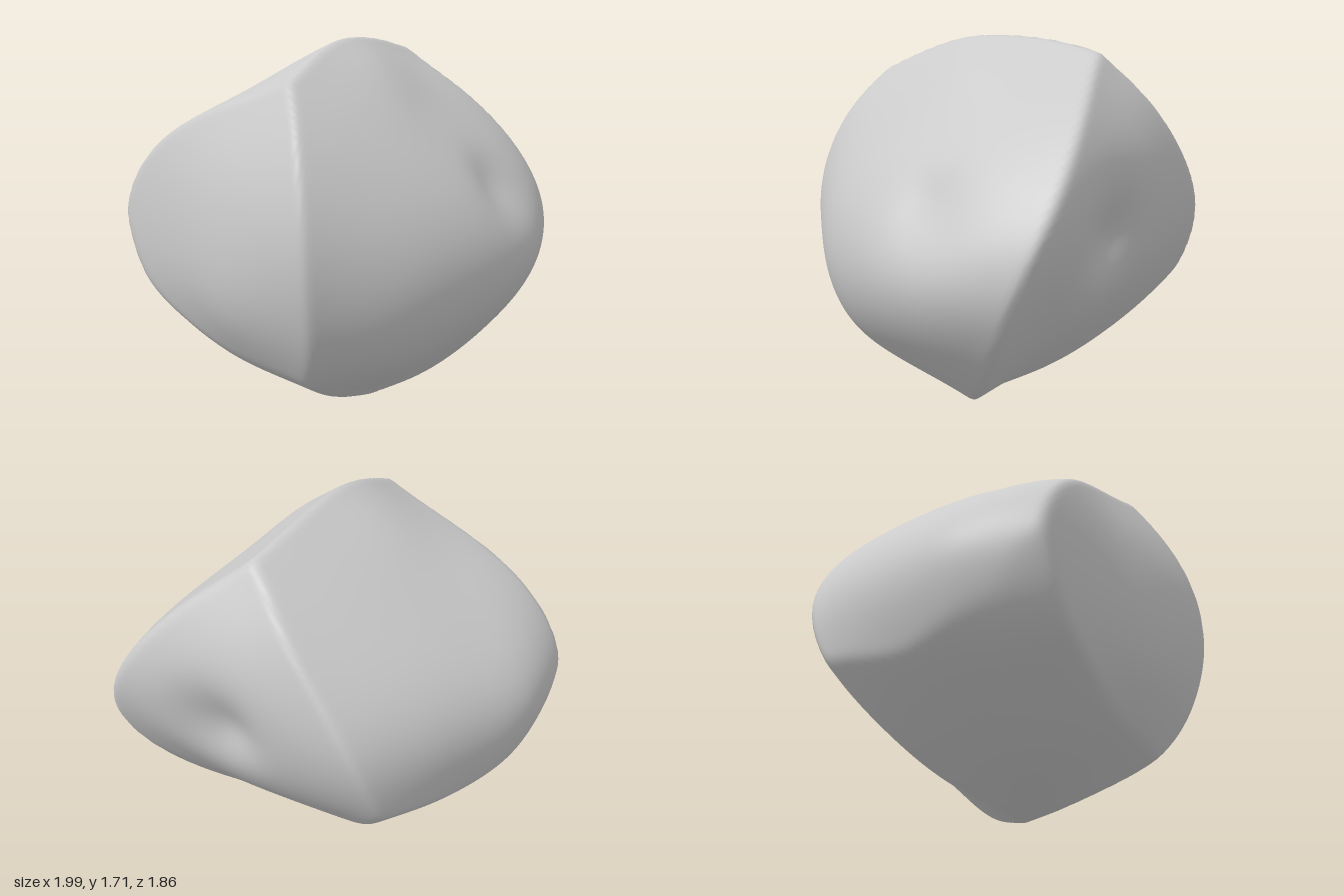
import * as THREE from 'three';
import { mergeVertices } from 'three/addons/utils/BufferGeometryUtils.js';

const CENTRE = new THREE.Vector3(0, 0.85, 0);

// Ridges shared by two neighbouring faces, each a short path of points
const crest = [[0.28, 1.65, -0.58], [0.2, 1.69, -0.4], [0.08, 1.715, -0.05], [-0.02, 1.665, 0.3], [-0.1, 1.55, 0.6]];
const frontRidge = [[-0.1, 1.55, 0.6], [-0.06, 1.44, 0.71], [-0.03, 1.32, 0.8], [0.02, 0.9, 0.935], [0.03, 0.6, 0.89], [0.02, 0.4, 0.8], [-0.02, 0.24, 0.67]];
const keel = [[-0.02, 0.24, 0.67], [0.03, 0.11, 0.42], [0.17, -0.01, 0.06]];
const sideRidge = [[0.28, 1.65, -0.58], [0.54, 1.46, -0.6], [0.82, 1.19, -0.6], [1, 0.83, -0.5], [0.91, 0.5, -0.36], [0.68, 0.24, -0.2], [0.4, 0.06, -0.05], [0.17, -0.01, 0.06]];
const backRidge = [[0.28, 1.65, -0.58], [0.13, 1.45, -0.76], [-0.05, 1.2, -0.885], [-0.2, 0.93, -0.935], [-0.31, 0.6, -0.83]];
const underRidge = [[-0.31, 0.6, -0.83], [-0.18, 0.33, -0.57], [0, 0.12, -0.26], [0.17, -0.01, 0.06]];
const upperLeftRidge = [[-0.1, 1.55, 0.6], [-0.5, 1.4, 0.38], [-0.75, 1.27, 0.26], [-0.93, 1.08, 0.17], [-1.005, 0.88, 0.13]];
const lowerLeftRidge = [[-1.005, 0.88, 0.13], [-0.87, 0.56, 0.22], [-0.7, 0.44, 0.31], [-0.4, 0.3, 0.46], [-0.02, 0.24, 0.67]];
const backLeftRidge = [[-1.005, 0.88, 0.13], [-0.92, 0.66, -0.06], [-0.81, 0.57, -0.26], [-0.62, 0.51, -0.45], [-0.47, 0.55, -0.65], [-0.31, 0.6, -0.83]];

// Faces: surrounding ridges plus a few points on the face itself
const faces = [
  [crest, frontRidge, keel, sideRidge, [
    [0.2, 1.63, 0.05], [0.4, 1.42, 0.1], [0.3, 1.27, 0.5], [0.81, 1.02, 0], [0.97, 0.76, -0.13], [0.83, 0.74, 0.2],
    [0.63, 0.72, 0.47], [0.42, 0.72, 0.68], [0.55, 0.3, 0.24], [0.28, 0.3, 0.58], [0.26, 0.12, 0.25]]],
  [crest, backRidge, upperLeftRidge, backLeftRidge, [
    [-0.15, 1.61, 0], [-0.4, 1.46, 0.05], [-0.3, 1.36, -0.42], [-0.65, 1.2, -0.22], [-0.51, 0.9, -0.67], [-0.72, 0.85, -0.46], [-0.88, 0.88, -0.26]]],
  [frontRidge, upperLeftRidge, lowerLeftRidge, [[-0.3, 0.85, 0.73], [-0.65, 0.85, 0.43], [-0.4, 1.2, 0.57], [-0.4, 0.5, 0.6]]],
  [sideRidge, backRidge, underRidge, [[0.4, 1.2, -0.74], [0.75, 1, -0.65], [0.1, 0.88, -0.82], [0.4, 0.5, -0.55], [0.7, 0.55, -0.46], [0.3, 0.2, -0.25]]],
  [keel, underRidge, lowerLeftRidge, backLeftRidge, [[-0.3, 0.16, 0.1], [-0.6, 0.34, 0.02], [-0.4, 0.32, -0.33]]],
];

// Dimples: position, depth, radius
const dimples = [
  [[0.75, 1.03, 0.03], 0.07, 0.21],
  [[0.38, 0.87, -0.62], 0.15, 0.22],
];

const direction = (p) => new THREE.Vector3(...p).sub(CENTRE).normalize();

// Gauss-Jordan elimination of an augmented matrix
function solve(m) {
  const n = m.length;
  for (let c = 0; c < n; c++) {
    let best = c;
    for (let r = c + 1; r < n; r++) if (Math.abs(m[r][c]) > Math.abs(m[best][c])) best = r;
    [m[c], m[best]] = [m[best], m[c]];
    for (let r = 0; r < n; r++) {
      if (r === c) continue;
      const f = m[r][c] / m[c][c];
      for (let k = c; k <= n; k++) m[r][k] -= f * m[c][k];
    }
  }
  return m.map((row, i) => row[n] / row[i]);
}

// Smooth function of direction giving 1 / radius of one face
function fitFace(paths) {
  const points = [...new Map(paths.flat().map((p) => [p.join(), p])).values()];
  const dirs = points.map(direction);
  const values = points.map((p) => 1 / new THREE.Vector3(...p).distanceTo(CENTRE));
  // A negative value on the far side keeps the face to its own side
  dirs.push(dirs.reduce((s, d) => s.sub(d), new THREE.Vector3()).normalize());
  values.push(-1.2);
  const linear = (d) => [1, d.x, d.y, d.z];
  const n = dirs.length;
  const rows = dirs.map((d, i) => [
    ...dirs.map((e, j) => d.distanceTo(e) ** 3 + (i === j ? 0.004 : 0)), ...linear(d), values[i],
  ]);
  for (let k = 0; k < 4; k++) rows.push([...dirs.map((d) => linear(d)[k]), 0, 0, 0, 0, 0]);
  const w = solve(rows);
  return (d) => {
    let q = w[n] + w[n + 1] * d.x + w[n + 2] * d.y + w[n + 3] * d.z;
    for (let i = 0; i < n; i++) q += w[i] * d.distanceTo(dirs[i]) ** 3;
    return q;
  };
}

export function createModel() {
  const group = new THREE.Group();
  const fits = faces.map(fitFace);
  const pits = dimples.map(([p, depth, radius]) => ({ d: direction(p), depth, radius }));

  // Sphere reshaped so the innermost face wins in every direction
  let geometry = new THREE.IcosahedronGeometry(1, 44);
  geometry.deleteAttribute('uv');
  geometry.deleteAttribute('normal');
  geometry = mergeVertices(geometry, 1e-5);
  const pos = geometry.attributes.position;
  const d = new THREE.Vector3();
  const sharpness = 90;
  for (let i = 0; i < pos.count; i++) {
    d.fromBufferAttribute(pos, i).normalize();
    const qs = fits.map((f) => f(d));
    const top = Math.max(...qs);
    let q = top + Math.log(qs.reduce((s, v) => s + Math.exp(sharpness * (v - top)), 0)) / sharpness;
    for (const pit of pits) q += pit.depth * Math.exp(-((d.distanceTo(pit.d) / pit.radius) ** 2));
    d.divideScalar(q);
    pos.setXYZ(i, d.x, d.y, d.z);
  }

  // Centre it and stand it on the ground
  geometry.center();
  geometry.translate(0, -geometry.boundingBox.min.y, 0);
  geometry.computeBoundingBox();
  geometry.translate(0, -geometry.boundingBox.min.y, 0);
  geometry.computeVertexNormals();

  const stone = new THREE.Mesh(geometry, new THREE.MeshStandardMaterial({ color: 0xcccccc }));
  stone.name = 'dimpledStone';
  group.add(stone);
  return group;
}
